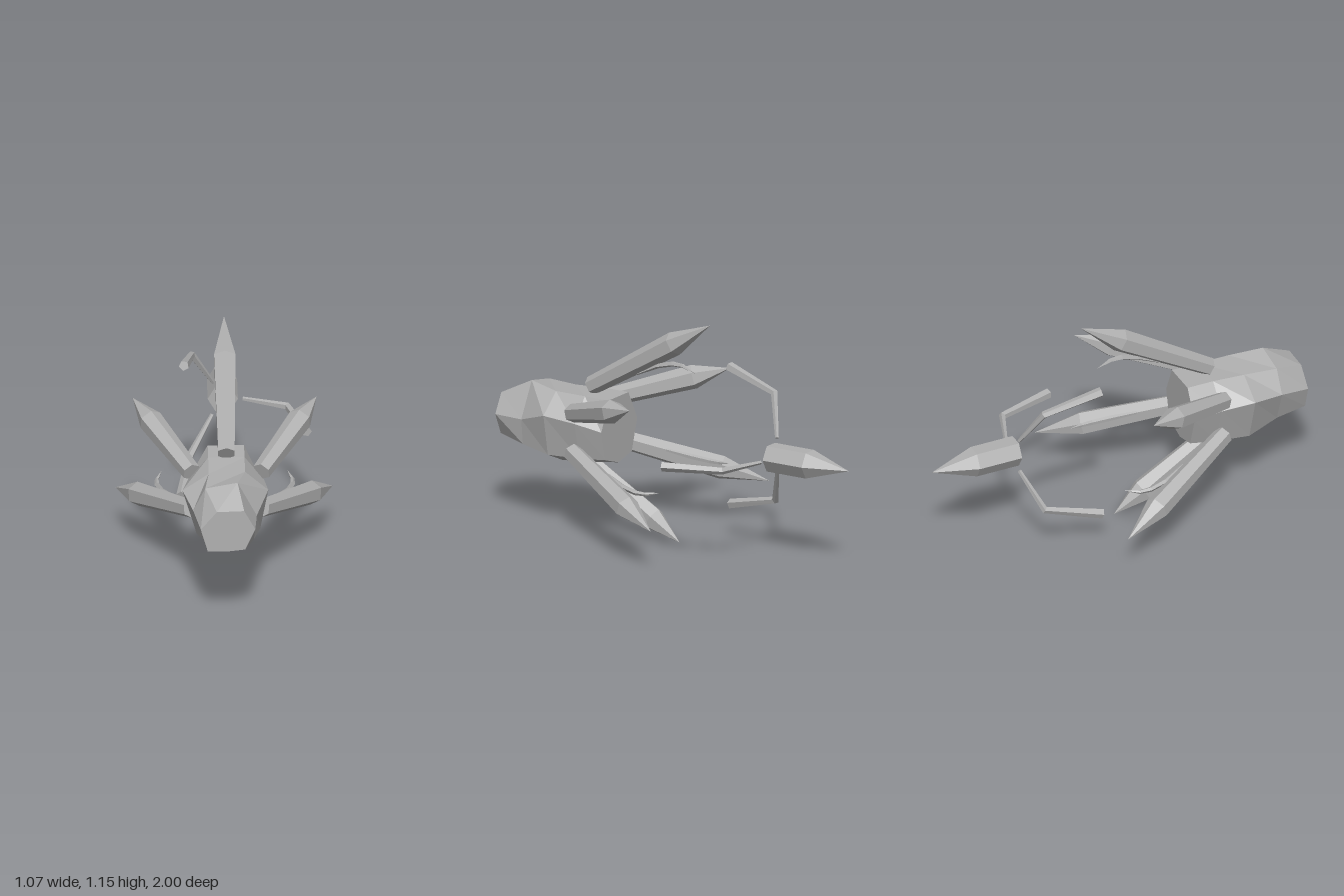
import * as THREE from 'three';

const CENTRE_Y = 0.53;

// Skin a list of equal-length rings (counterclockwise about the travel direction) and cap both ends
function loft(rings) {
  const pos = [];
  const tri = (a, b, c) => pos.push(...a, ...b, ...c);
  const n = rings[0].length;
  for (let k = 0; k < rings.length - 1; k++) {
    const a = rings[k], b = rings[k + 1];
    for (let i = 0; i < n; i++) {
      const j = (i + 1) % n;
      tri(a[i], a[j], b[j]);
      tri(a[i], b[j], b[i]);
    }
  }
  const first = rings[0], last = rings[rings.length - 1];
  for (let i = 1; i < n - 1; i++) {
    tri(first[0], first[i + 1], first[i]);
    tri(last[0], last[i], last[i + 1]);
  }
  const g = new THREE.BufferGeometry();
  g.setAttribute('position', new THREE.Float32BufferAttribute(pos, 3));
  g.computeVertexNormals();
  return g;
}

// Faceted limb along a path of [radial y, z, radius] in the local x = 0 plane
function limb(path, sides, turn = Math.PI / 2) {
  return loft(path.map(([y, z, r], k) => {
    const p = path[Math.max(k - 1, 0)], q = path[Math.min(k + 1, path.length - 1)];
    const len = Math.hypot(q[0] - p[0], q[1] - p[1]);
    const ny = (q[1] - p[1]) / len, nz = -(q[0] - p[0]) / len;
    return Array.from({ length: sides }, (_, i) => {
      const a = turn + (i / sides) * Math.PI * 2;
      return [r * Math.cos(a), y + r * Math.sin(a) * ny, z + r * Math.sin(a) * nz];
    });
  }));
}

export function createModel() {
  const model = new THREE.Group();
  model.name = 'crystalCraft';
  const grey = new THREE.MeshStandardMaterial({ color: 0xb0b0b0, flatShading: true });
  grey.name = 'stone grey';

  const add = (name, geometry, degrees = 90) => {
    const mesh = new THREE.Mesh(geometry, grey);
    mesh.name = name;
    mesh.position.y = CENTRE_Y;
    mesh.rotation.z = THREE.MathUtils.degToRad(degrees - 90);
    model.add(mesh);
  };

  // Irregular rocky body: cross-sections from front to back
  const sections = [
    [1.0, [[-.135, .54], [-.055, .635], [.08, .64], [.135, .54], [.085, .43], [0, .42], [-.1, .42]]],
    [.84, [[-.17, .57], [-.11, .69], [.05, .72], [.145, .54], [.13, .41], [.02, .39], [-.11, .4]]],
    [.67, [[-.22, .6], [-.09, .69], [.09, .7], [.205, .6], [.165, .39], [.03, .33], [-.15, .365]]],
    [.5, [[-.19, .58], [-.09, .7], [.09, .7], [.185, .58], [.14, .39], [.02, .345], [-.13, .37]]],
    [.36, [[-.17, .55], [-.09, .7], [.09, .7], [.155, .55], [.12, .4], [0, .36], [-.12, .39]]],
  ];
  add('body', loft(sections.map(([z, ring]) => ring.map(([x, y]) => [x, y - CENTRE_Y, z]))));

  // Six crystal arms, alternating long and short, splayed backwards
  for (let i = 0; i < 6; i++) {
    const long = i % 2 === 0;
    const angle = 90 + i * 60;
    const [tipR, tipZ] = long ? [.62, -.18] : [.525, 0];
    const at = t => [.2 + (tipR - .2) * t, .52 + (tipZ - .52) * t];
    add(long ? 'longArm' : 'shortArm',
      limb([[...at(0), .047], [...at(.7), .061], [...at(1), .0005]], 6), angle);

    // Curved thorn on the inner side of each long arm
    if (long) {
      add('thorn', limb([[.305, .25, .008], [.365, .13, .014], [.388, .04, .013],
        [.387, -.02, .01], [.36, -.09, .0005]], 5), angle);
    }
  }

  // Floating rear spike
  add('rearSpike', limb([[0, -.54, .075], [0, -.77, .075], [0, -1, .0005]], 6, 0));

  // Three bent claws reaching forward around the rear spike
  for (let i = 0; i < 3; i++) {
    add('claw', limb([[.1, -.545, .01], [.32, -.46, .019], [.41, -.165, .026]], 5), i * 120 - 1);
  }

  return model;
}
